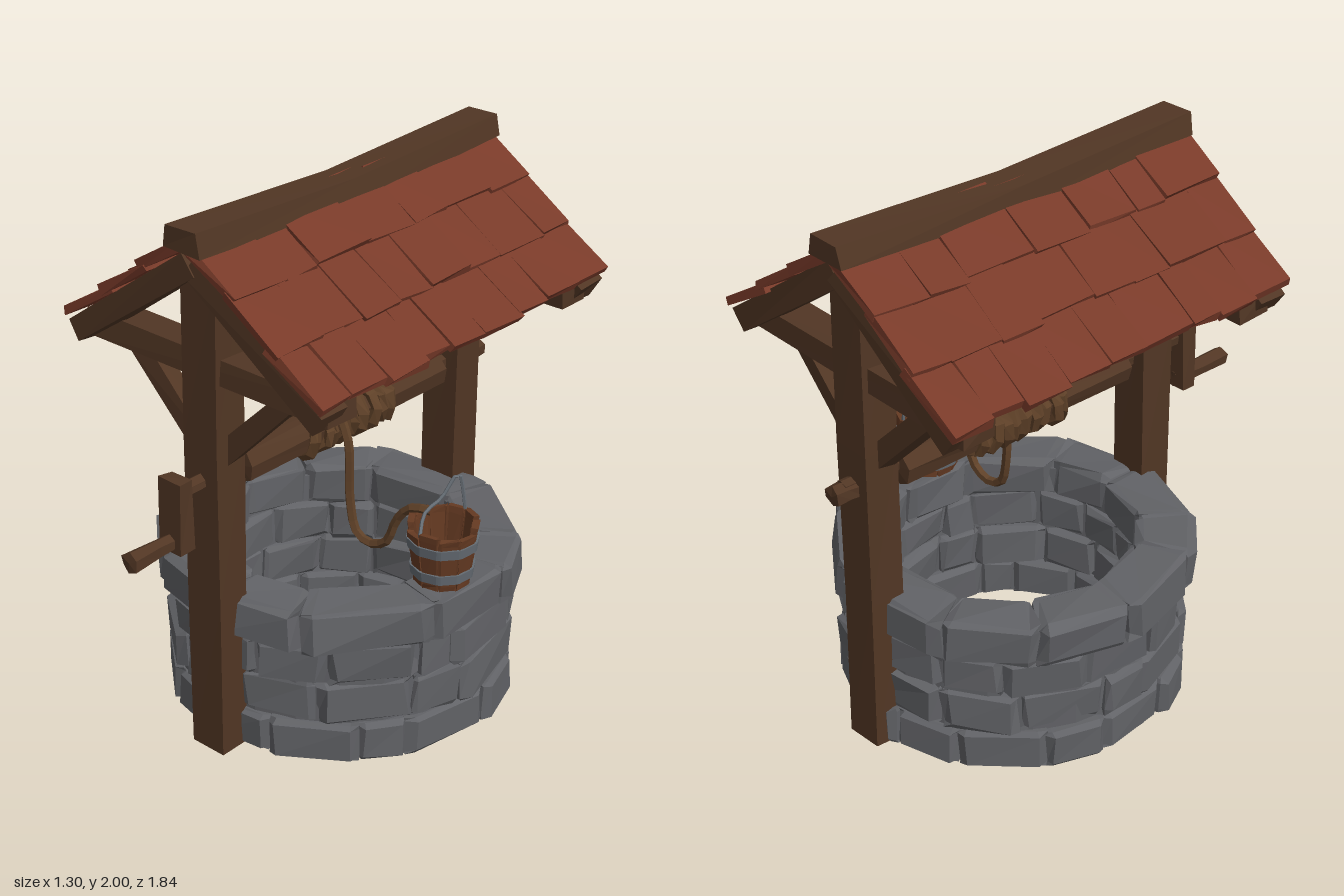
import * as THREE from 'three';

const mat = (name, color) => Object.assign(new THREE.MeshStandardMaterial({ color }), { name });

let seed = 7;
const rnd = () => (seed = (seed * 16807) % 2147483647) / 2147483647;
const jit = (a) => (rnd() * 2 - 1) * a;

// Moves every distinct corner by a rule plus a small random offset, then facets the surface
function chisel(geo, amount, rule = (p) => p) {
  const g = geo.toNonIndexed();
  const pos = g.attributes.position, moved = new Map(), v = new THREE.Vector3();
  for (let i = 0; i < pos.count; i++) {
    v.fromBufferAttribute(pos, i);
    const key = v.toArray().map((n) => Math.round(n * 1e4)).join();
    if (!moved.has(key)) {
      const p = rule(v.clone());
      moved.set(key, p.add(new THREE.Vector3(jit(amount), jit(amount), jit(amount))));
    }
    pos.setXYZ(i, ...moved.get(key).toArray());
  }
  g.computeVertexNormals();
  return g;
}

function add(parent, name, geo, material, x = 0, y = 0, z = 0) {
  const m = new THREE.Mesh(geo, material);
  m.name = name;
  m.position.set(x, y, z);
  parent.add(m);
  return m;
}

// Curved block between two angles; slope widens it upward, chamfer softens the edges
function arcBlock(a0, a1, r0, r1, y0, y1, { chamfer = 0, slope = 0, rough = 0 } = {}) {
  const spread = (t) => (Math.abs(t) < 0.9 ? Math.sign(t) * 0.8 : t);
  return chisel(new THREE.BoxGeometry(2, 2, 2, 3, 3, 1), rough, (p) => {
    const edge = Math.abs(p.x) > 0.9 || Math.abs(p.y) > 0.9 ? chamfer : 0;
    const a = a0 + (spread(p.x) + 1) / 2 * (a1 - a0);
    const h = (spread(p.y) + 1) / 2;
    const r = (p.z > 0 ? r1 - edge : r0 + edge) + slope * h;
    return new THREE.Vector3(Math.sin(a) * r, y0 + h * (y1 - y0), Math.cos(a) * r);
  });
}

export function createModel() {
  const stone = mat('stone', 0x616266);
  const wood = mat('wood', 0x513624);
  const tile = mat('roof tile', 0x783a29);
  const rope = mat('rope', 0x5f4128);
  const stave = mat('bucket wood', 0x653a22);
  const iron = mat('iron', 0x646b72);

  const model = new THREE.Group();
  model.name = 'well';

  // Stone ring: a solid core faced with rough courses
  const wall = new THREE.Group();
  wall.name = 'stoneWall';
  wall.position.set(-0.005, 0, -0.145);
  model.add(wall);
  const core = [[0.47, 0], [0.595, 0], [0.595, 0.57], [0.47, 0.57], [0.47, 0]];
  add(wall, 'wallCore', chisel(new THREE.LatheGeometry(core.map((c) => new THREE.Vector2(...c)), 24), 0), stone);
  const courses = [[0, 0.15, 0.63, 15], [0.15, 0.31, 0.625, 13], [0.31, 0.46, 0.62, 15], [0.455, 0.61, 0.655, 11]];
  courses.forEach(([y0, y1, r, n], row) => {
    const cuts = Array.from({ length: n }, (_, i) => (i + row * 0.4 + jit(0.25)) * 2 * Math.PI / n);
    cuts.push(cuts[0] + 2 * Math.PI);
    for (let i = 0; i < n; i++) {
      const g = arcBlock(cuts[i], cuts[i + 1], 0.445 + jit(0.012), r + jit(0.015), y0, y1,
        { chamfer: 0.024, rough: row === 0 ? 0.006 : 0.011 });
      const pos = g.attributes.position;
      for (let k = 0; k < pos.count; k++) pos.setY(k, Math.max(0, pos.getY(k)));
      add(wall, 'wallStone', g, stone);
    }
  });

  // Timber frame, roof and windlass share a slightly turned frame
  const frame = new THREE.Group();
  frame.name = 'frame';
  frame.position.z = -0.13;
  frame.rotation.y = 0.066;
  model.add(frame);

  const box = (parent, name, w, h, d, m, x, y, z, rough = 0.006) =>
    add(parent, name, chisel(new THREE.BoxGeometry(w, h, d), rough), m, x, y, z);
  // Beam lying in a plane of constant z, from (x0, y0) to (x1, y1)
  const beam = (name, x0, y0, x1, y1, thick, depth, z) => {
    const b = box(frame, name, Math.hypot(x1 - x0, y1 - y0), thick, depth, wood, (x0 + x1) / 2, (y0 + y1) / 2, z);
    b.rotation.z = Math.atan2(y1 - y0, x1 - x0);
  };

  for (const e of [1, -1]) {
    add(frame, 'post', chisel(new THREE.BoxGeometry(0.15, 1.8, 0.135, 1, 3, 1), 0.005,
      (p) => p.setY(p.y + 0.9)), wood, 0, 0.007, e * 0.632);
    box(frame, 'tieBeam', 1.1, 0.09, 0.13, wood, 0, 1.49, e * 0.612);
    for (const s of [1, -1]) {
      beam('rafter', s * 0.55, 1.475, 0, 1.87, 0.09, 0.12, e * 0.675);
      beam('brace', s * 0.04, 1.16, s * 0.34, 1.46, 0.075, 0.075, e * 0.612);
    }
  }

  // Roof: each slope is a board with three overlapping tile rows
  const pitch = 0.625;
  for (const s of [1, -1]) {
    const side = new THREE.Group();
    side.name = s > 0 ? 'leftRoof' : 'rightRoof';
    side.rotation.y = s > 0 ? 0 : Math.PI;
    frame.add(side);
    const slope = new THREE.Group();
    slope.position.y = 1.925;
    slope.rotation.z = -pitch;
    side.add(slope);
    box(slope, 'roofBoard', 0.66, 0.02, 1.44, tile, 0.33, -0.01, 0, 0);
    [0.25, 0.48, 0.7].forEach((end, row) => {
      const n = 7 + row;
      const cuts = Array.from({ length: n + 1 }, (_, i) => -0.755 + 1.51 * (i + (i % n ? jit(0.25) : 0)) / n);
      for (let i = 0; i < n; i++) {
        const len = 0.27 + jit(0.015);
        const t = box(slope, 'roofTile', len, 0.034, cuts[i + 1] - cuts[i] - 0.002, tile,
          end - len / 2 + jit(0.012), 0.016 + rnd() * 0.008, (cuts[i] + cuts[i + 1]) / 2, 0.007);
        t.rotation.z = 0.07;
      }
    });
  }
  add(frame, 'ridgeBeam', chisel(new THREE.BoxGeometry(0.16, 0.08, 1.53, 1, 1, 2), 0.004, (p) => {
    if (p.y > 0) p.x *= 0.8;
    if (Math.abs(p.z) < 0.1) p.y -= 0.03;
    return p;
  }), wood, 0, 1.957, 0);

  // Windlass
  const rod = (name, r0, r1, len, sides, y, z, x = 0, m = wood) =>
    add(frame, name, chisel(new THREE.CylinderGeometry(r0, r1, len, sides, 2).rotateX(Math.PI / 2), 0.004), m, x, y, z);
  rod('drum', 0.066, 0.07, 1.03, 7, 1.065, 0);
  rod('axle', 0.026, 0.026, 1.56, 6, 1.075, 0.04);
  rod('axlePin', 0.042, 0.038, 0.1, 6, 1.06, -0.735);
  box(frame, 'crankArm', 0.1, 0.265, 0.06, wood, 0, 1.005, 0.82);
  rod('crankHandle', 0.038, 0.03, 0.25, 6, 0.905, 0.915);
  for (let i = 0; i < 9; i++) {
    const coil = add(frame, 'ropeCoil', chisel(new THREE.TorusGeometry(0.076, 0.024, 5, 9), 0.006), rope,
      0, 1.067, 0.19 - i * 0.047);
    coil.rotation.set(jit(0.15), jit(0.25), rnd() * 3);
  }

  // Slack rope from the drum to the bucket
  const tube = (name, pts, n, r, m) => add(model, name, chisel(new THREE.TubeGeometry(
    new THREE.CatmullRomCurve3(pts.map((p) => new THREE.Vector3(...p))), n, r, 5), 0), m);
  tube('rope', [[0.08, 1.1, -0.06], [0.115, 1.02, -0.06], [0.125, 0.8, -0.06], [0.16, 0.68, -0.06], [0.22, 0.655, -0.07],
    [0.29, 0.69, -0.08], [0.33, 0.79, -0.09], [0.39, 0.855, -0.1], [0.46, 0.86, -0.12]], 22, 0.017, rope);

  // Bucket standing on the rim
  const bucket = new THREE.Group();
  bucket.name = 'bucket';
  bucket.position.set(0.51, 0.612, -0.13);
  model.add(bucket);
  const n = 10, step = 2 * Math.PI / n;
  for (let i = 0; i < n; i++) {
    add(bucket, 'stave', arcBlock(i * step, (i + 0.97) * step, 0.078, 0.1, 0, 0.215 + jit(0.018),
      { slope: 0.026, rough: 0.003 }), stave);
  }
  add(bucket, 'bucketFloor', chisel(new THREE.CylinderGeometry(0.09, 0.09, 0.02, n), 0), stave, 0, 0.02, 0);
  for (const y of [0.05, 0.155]) {
    const r = 0.1 + 0.026 * y / 0.215;
    for (let i = 0; i < n; i++) {
      add(bucket, 'hoop', arcBlock(i * step, (i + 1) * step, r - 0.004, r + 0.006, y - 0.018, y + 0.018,
        { slope: 0.004 }), iron);
    }
  }
  tube('bucketHandle', [[0.51, 0.8, -0.245], [0.5, 0.9, -0.24], [0.487, 0.98, -0.225], [0.47, 0.9, -0.16],
    [0.46, 0.865, -0.09], [0.5, 0.8, -0.02]], 14, 0.007, iron);

  return model;
}
